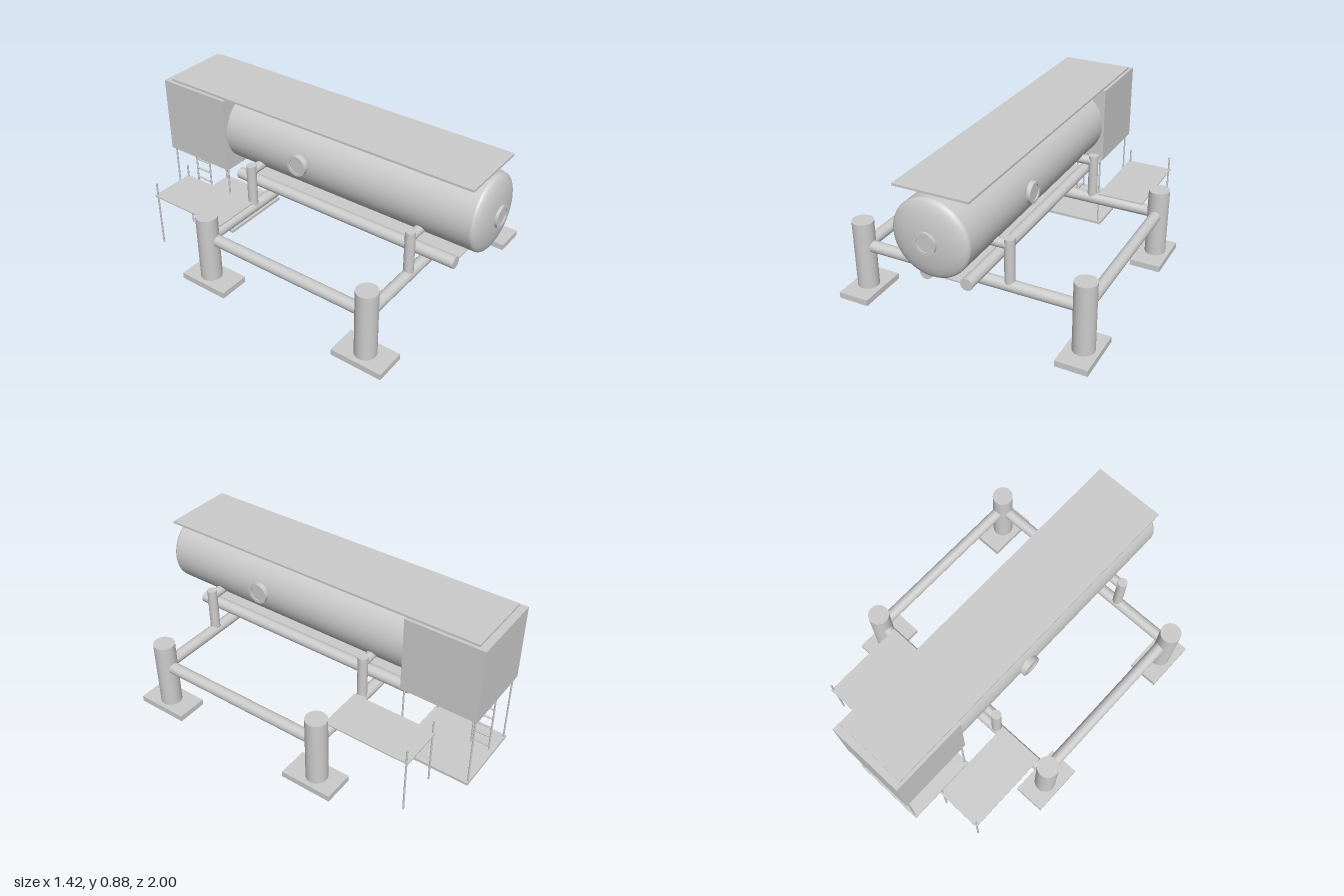
import * as THREE from 'three';

const mat = new THREE.MeshStandardMaterial({ color: 0xcccccc, side: THREE.DoubleSide });

export function createModel() {
  const model = new THREE.Group();

  const add = (name, geometry) => {
    const mesh = new THREE.Mesh(geometry, mat);
    mesh.name = name;
    model.add(mesh);
    return mesh;
  };
  // box given by its min and max on each axis
  const box = (name, [x0, x1], [y0, y1], [z0, z1]) => {
    const m = add(name, new THREE.BoxGeometry(x1 - x0, y1 - y0, z1 - z0));
    m.position.set((x0 + x1) / 2, (y0 + y1) / 2, (z0 + z1) / 2);
    return m;
  };
  // round bar between two points
  const rod = (name, a, b, r, sides = 24) => {
    const p = new THREE.Vector3(...a), q = new THREE.Vector3(...b);
    const m = add(name, new THREE.CylinderGeometry(r, r, p.distanceTo(q), sides));
    m.position.copy(p).add(q).multiplyScalar(0.5);
    m.quaternion.setFromUnitVectors(new THREE.Vector3(0, 1, 0), q.sub(p).normalize());
    return m;
  };

  // tank shell with flat rear end
  const TX = -0.013, TY = 0.649, R = 0.204;
  rod('tankShell', [TX, TY, -0.575], [TX, TY, 0.936], R, 48);

  // shallow elliptical front head
  const head = [];
  for (let i = 0; i <= 12; i++) {
    const a = (i / 12) * Math.PI / 2;
    head.push(new THREE.Vector2(R * Math.cos(a), 0.052 * Math.sin(a)));
  }
  const dome = add('tankHead', new THREE.LatheGeometry(head, 48));
  dome.rotation.x = Math.PI / 2;
  dome.position.set(TX, TY, 0.936);

  // hatches: a raised ring around a slightly recessed cover, axis along +z
  const hatch = (name, depth, position, turn) => {
    const g = new THREE.Group();
    g.name = name;
    const shape = new THREE.Shape().absarc(0, 0, 0.058, 0, Math.PI * 2);
    shape.holes.push(new THREE.Path().absarc(0, 0, 0.043, 0, Math.PI * 2, true));
    const ring = new THREE.Mesh(new THREE.ExtrudeGeometry(shape, { depth, bevelEnabled: false, curveSegments: 24 }), mat);
    ring.name = 'hatchRing';
    const cover = new THREE.Mesh(new THREE.CylinderGeometry(0.043, 0.043, depth - 0.006, 32), mat);
    cover.name = 'hatchCover';
    cover.rotation.x = Math.PI / 2;
    cover.position.z = (depth - 0.006) / 2;
    g.add(ring, cover);
    g.position.set(...position);
    g.rotation.y = turn;
    model.add(g);
  };
  hatch('frontHatch', 0.03, [TX, TY, 0.97], 0);
  hatch('leftHatch', 0.04, [0.17, TY, 0.337], Math.PI / 2);
  hatch('rightHatch', 0.045, [-0.197, TY, -0.07], -Math.PI / 2);

  // long roof plate
  box('roofPlate', [-0.213, 0.187], [0.868, 0.88], [-0.96, 0.935]);

  // rear cabin, open underneath
  const X0 = -0.23, X1 = 0.202, Z0 = -1, Z1 = -0.567, FLOOR = 0.433, ROOF = 0.866, T = 0.02;
  box('cabinRoof', [X0, X1], [ROOF - T, ROOF], [Z0, Z1]);
  box('cabinBackWall', [X0, X1], [FLOOR, ROOF - T], [Z0, Z0 + T]);
  box('cabinFrontWall', [X0, X1], [FLOOR, ROOF - T], [Z1 - T, Z1]);
  box('cabinRightWall', [X0, X0 + T], [FLOOR, ROOF - T], [Z0 + T, Z1 - T]);
  box('cabinLeftWall', [X1 - T, X1], [FLOOR, ROOF - T], [Z0 + T, Z1 - T]);

  // ground platform and corner posts under the cabin
  box('groundPlatform', [X0, X1], [0, 0.016], [Z0 + 0.008, Z1]);
  for (const x of [-0.213, 0.182])
    for (const z of [-0.984, -0.58]) rod('cabinPost', [x, 0.01, z], [x, 0.445, z], 0.005, 8);

  // ladder
  for (const z of [-0.86, -0.965]) rod('ladderRail', [-0.08, 0.01, z], [-0.08, 0.45, z], 0.005, 8);
  for (let i = 0; i < 7; i++) {
    const y = 0.04 + i * 0.0635;
    rod('ladderRung', [-0.08, y, -0.86], [-0.08, y, -0.965], 0.005, 8);
  }

  // base frame: pads, columns, long beams
  const BEAM_Y = 0.294, ROWS = [0.648, -0.36];
  for (const s of [-1, 1]) {
    for (const z of ROWS) {
      const pz = z + (z > 0 ? -0.003 : 0.013);
      box('footPad', s < 0 ? [-0.711, -0.538] : [0.536, 0.709], [0.016, 0.05], [pz - 0.146, pz + 0.146]);
      rod('column', [s * 0.626, 0.05, z], [s * 0.626, 0.437, z], 0.058, 32);
    }
    const bx = s < 0 ? -0.615 : 0.627;
    rod('longBeam', [bx, BEAM_Y, ROWS[1] + 0.03], [bx, BEAM_Y, ROWS[0] - 0.03], 0.032);
  }

  // cross beams, saddle posts and brackets holding the tank
  for (const z of ROWS) {
    rod('crossBeam', [-0.58, BEAM_Y, z], [0.58, BEAM_Y, z], 0.032);
    for (const [x, inner] of [[-0.262, -0.13], [0.23, 0.105]]) {
      rod('saddlePost', [x, 0.3, z], [x, 0.56, z], 0.027);
      rod('saddleBracket', [x, 0.525, z], [inner, 0.525, z], 0.026);
    }
  }

  // twin pipes under the tank with a web plate between
  for (const x of [-0.127, 0.097]) rod('lowerPipe', [x, 0.368, -0.566], [x, 0.368, 0.835], 0.033);
  box('pipeWeb', [-0.127, 0.097], [0.364, 0.372], [-0.566, 0.83]);

  // side decks with thin outer posts
  for (const [x0, x1] of [[-0.552, -0.29], [0.275, 0.538]]) {
    box('sideDeck', [x0, x1], [0.329, 0.337], [-0.827, -0.342]);
    for (const x of [x0 + 0.012, x1 - 0.008]) rod('deckPost', [x, 0.016, -0.815], [x, 0.415, -0.815], 0.005, 8);
  }

  return model;
}
